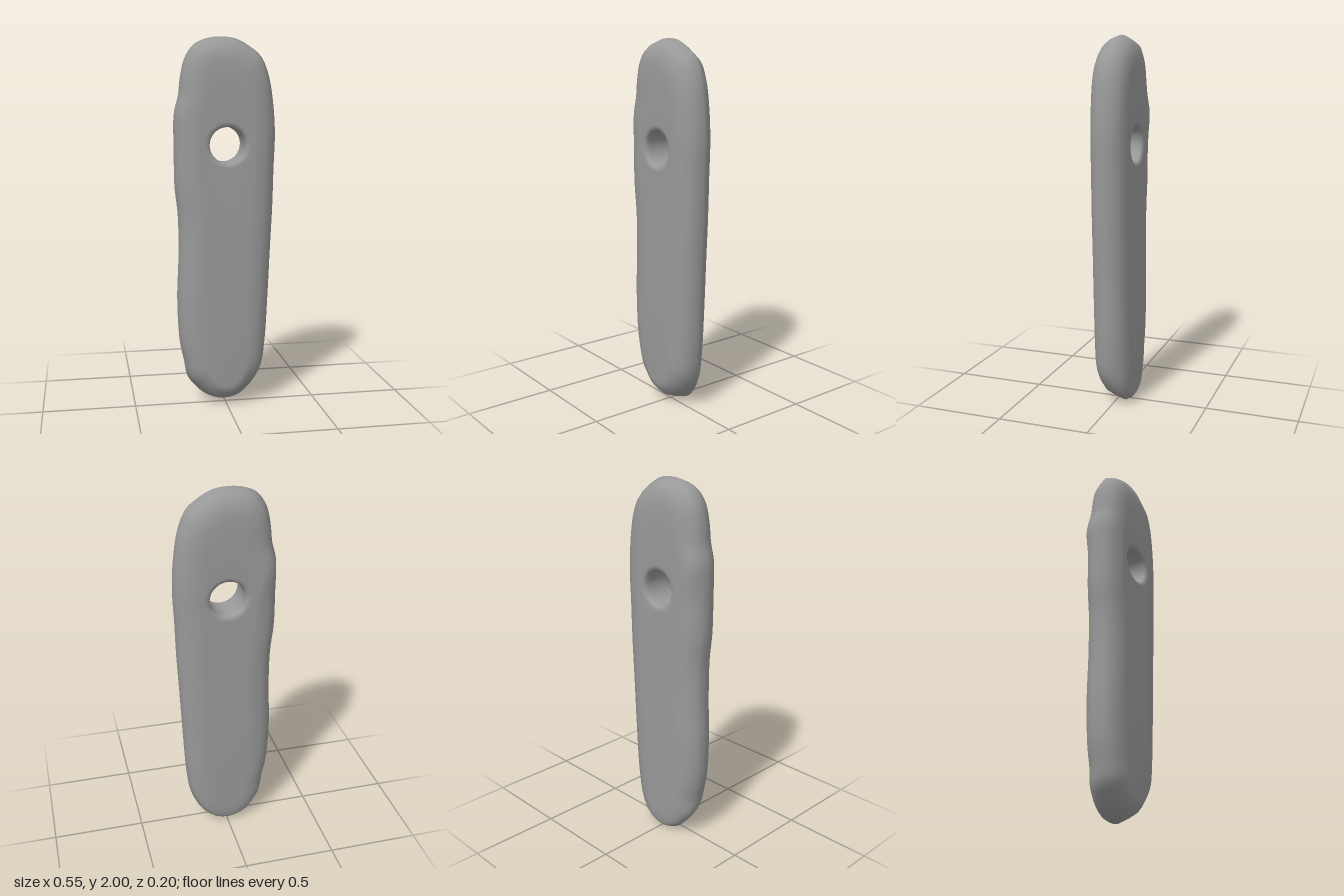
import * as THREE from 'three';

const SAMPLES = 180;
const HOLE_Y = 1.435;

// Slightly irregular silhouette, counter-clockwise from the top
const OUTLINE = [
  [-0.02, 2.0], [-0.1, 1.99], [-0.165, 1.96], [-0.215, 1.89], [-0.24, 1.79], [-0.252, 1.69],
  [-0.274, 1.6], [-0.276, 1.4], [-0.274, 1.22], [-0.257, 1.05], [-0.256, 0.82], [-0.264, 0.6],
  [-0.252, 0.36], [-0.23, 0.25], [-0.21, 0.155], [-0.165, 0.09], [-0.115, 0.04], [-0.06, 0.012],
  [-0.01, 0.003], [0.06, 0.015], [0.12, 0.055], [0.17, 0.12], [0.205, 0.2], [0.224, 0.33],
  [0.24, 0.6], [0.251, 0.85], [0.263, 1.1], [0.268, 1.3], [0.274, 1.5], [0.26, 1.68],
  [0.235, 1.81], [0.195, 1.9], [0.135, 1.95], [0.06, 1.99],
];

// Worn edge from front face to back face: [inset from silhouette, z]
const EDGE = [
  [0.115, 0.097], [0.07, 0.087], [0.033, 0.066], [0.014, 0.035], [0, -0.008],
  [0.014, -0.04], [0.033, -0.072], [0.07, -0.091], [0.115, -0.101],
];

// Softened bore: [radius, z], from inside the bore out to the front face
const BORE = [[0.094, 0], [0.094, 0.065], [0.097, 0.085], [0.107, 0.094], [0.122, 0.097]];

function pendantGeometry() {
  const curve = new THREE.CatmullRomCurve3(
    OUTLINE.map(([x, y]) => new THREE.Vector3(x, y, 0)), true, 'centripetal');
  curve.arcLengthDivisions = 600;
  const positions = [];
  let rings = 0;

  for (let i = 0; i < SAMPLES; i++) {
    const p = curve.getPointAt(i / SAMPLES);
    // Insets run towards a spine along the middle of the stone
    const spineY = THREE.MathUtils.clamp(p.y, 0.27, 1.73);
    const inward = new THREE.Vector2(-p.x, spineY - p.y).normalize();
    const angle = Math.atan2(p.y - HOLE_Y, p.x);

    // Edge slants at the foot, tapers at the head and is squarer at the bump on one side
    const foot = 1 - THREE.MathUtils.smoothstep(p.y, 0, 0.25);
    const head = THREE.MathUtils.smoothstep(p.y, 1.75, 2);
    const bump = p.x < 0 ? Math.exp(-(((p.y - 1.58) / 0.12) ** 2)) : 0;
    const rim = EDGE.map(([inset, z]) => {
      const d = inset * (1 + 0.2 * head) * (z < -0.05 ? 1 - 0.4 * bump : 1);
      const slant = foot * 0.05 * Math.max(0, 1 - (z / 0.097) ** 2);
      return [p.x + inward.x * d, p.y + inward.y * d, z - slant];
    });
    const bore = BORE.map(([r, z]) => [r * Math.cos(angle), HOLE_Y + r * Math.sin(angle), z]);
    const back = bore.slice(1).map(([x, y, z]) => [x, y, -z * 1.04]).reverse();
    const mix = (a, b, k) => a.map((v, j) => v + (b[j] - v) * k);

    // Closed section: bore, front face, edge, back face, back into the bore
    const section = [
      ...bore,
      ...[0.33, 0.67].map((k) => mix(bore[bore.length - 1], rim[0], k)),
      ...rim,
      ...[0.33, 0.67].map((k) => mix(rim[rim.length - 1], back[0], k)),
      ...back,
    ];
    rings = section.length;
    positions.push(...section.flat());
  }

  const index = [];
  for (let i = 0; i < SAMPLES; i++) {
    const n = (i + 1) % SAMPLES;
    for (let j = 0; j < rings; j++) {
      const m = (j + 1) % rings;
      const a = i * rings + j, b = i * rings + m, c = n * rings + m, d = n * rings + j;
      index.push(a, b, c, a, c, d);
    }
  }
  const geometry = new THREE.BufferGeometry();
  geometry.setAttribute('position', new THREE.Float32BufferAttribute(positions, 3));
  geometry.setIndex(index);
  geometry.computeVertexNormals();
  return geometry;
}

export function createModel() {
  const group = new THREE.Group();
  group.name = 'stonePendant';
  const stone = new THREE.Mesh(
    pendantGeometry(), new THREE.MeshStandardMaterial({ color: 0x999999 }));
  stone.name = 'piercedStone';
  group.add(stone);
  return group;
}
